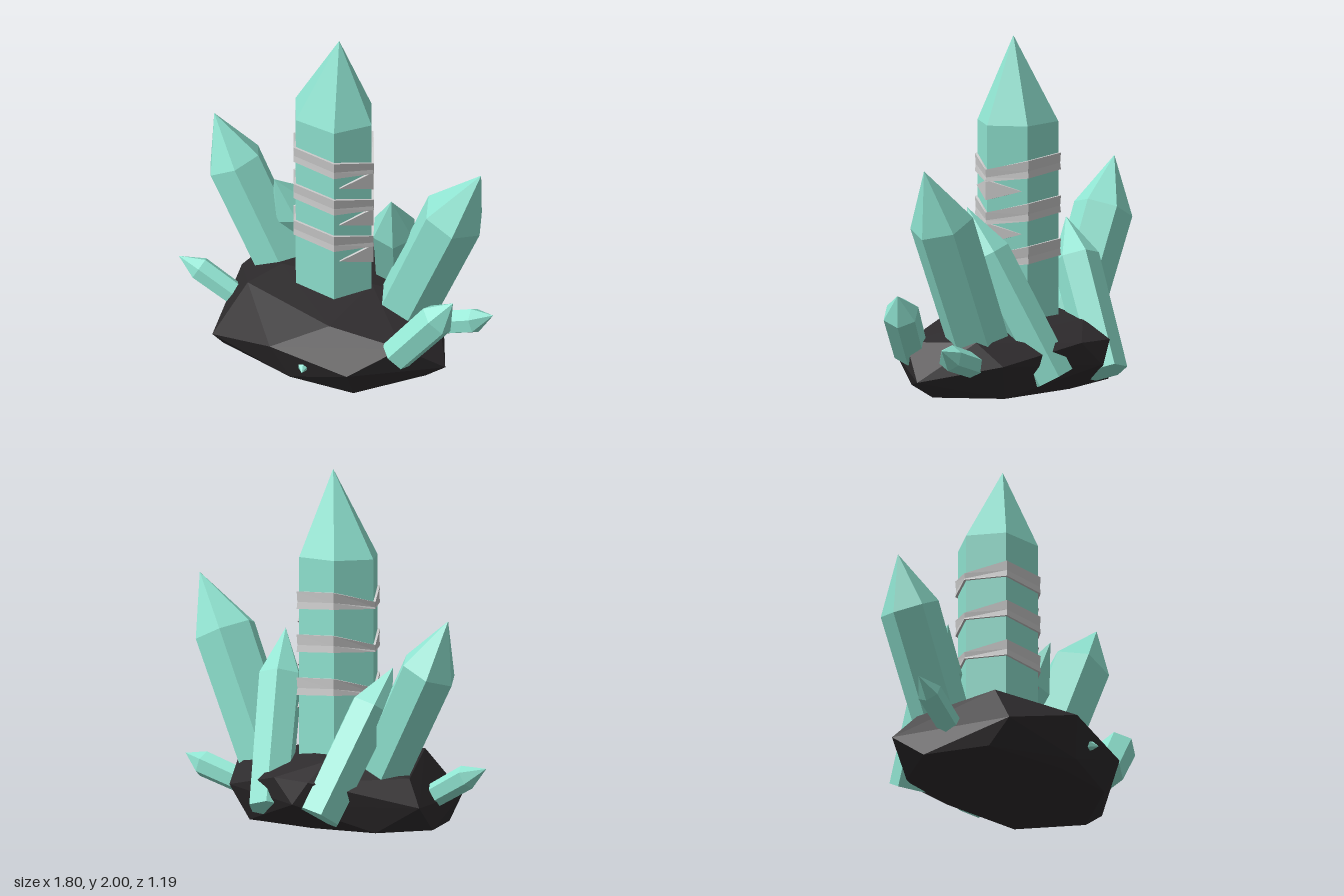
import * as THREE from 'three';
import { ConvexGeometry } from 'three/addons/geometries/ConvexGeometry.js';

const V = (x, y, z) => new THREE.Vector3(x, y, z);
const crystalMat = new THREE.MeshStandardMaterial({ color: 0x8fe3d0, flatShading: true });
const rockMat = new THREE.MeshStandardMaterial({ color: 0x2e2b2d, flatShading: true });
const bandMat = new THREE.MeshStandardMaterial({ color: 0xcccccc, flatShading: true });

// Skin a list of equal-length closed rings; optionally join last ring to first
function loft(rings, loop = false) {
  const n = rings[0].length, pos = [], idx = [];
  rings.forEach(r => r.forEach(p => pos.push(p.x, p.y, p.z)));
  const steps = loop ? rings.length : rings.length - 1;
  for (let k = 0; k < steps; k++) {
    const a = k * n, b = ((k + 1) % rings.length) * n;
    for (let i = 0; i < n; i++) {
      const j = (i + 1) % n;
      idx.push(a + i, a + j, b + j, a + i, b + j, b + i);
    }
  }
  const g = new THREE.BufferGeometry();
  g.setAttribute('position', new THREE.Float32BufferAttribute(pos, 3));
  g.setIndex(idx);
  // separate corners and drop the collapsed triangles at points
  const flat = g.toNonIndexed();
  flat.computeVertexNormals();
  return flat;
}

// Six-sided crystal: prism from base to shoulder, then a point to tip
function crystal(base, shoulder, tip, r, taper = 0.95) {
  const axis = shoulder.clone().sub(base).normalize();
  const u = V(0, 1, 0).cross(axis).normalize();
  const v = axis.clone().cross(u);
  const ring = (c, rad) => Array.from({ length: 6 }, (_, i) => {
    const a = i * Math.PI / 3;
    return c.clone().addScaledVector(v, -Math.cos(a) * rad).addScaledVector(u, Math.sin(a) * rad);
  });
  // order corners anticlockwise about the axis
  const ccw = c => {
    const n = c[0].clone().sub(c[3]).cross(c[1].clone().sub(c[4]));
    return n.dot(axis) > 0 ? c : c.reverse();
  };
  return loft([ring(base, 0), ccw(ring(base, r * taper)), ccw(ring(shoulder, r)), ring(tip, 0)]);
}

// Corner i of the main column's hexagon, pushed out by factor s
const CX = -0.018, CZ = -0.05;
const corner = (i, y, s = 1) => {
  const a = i * Math.PI / 3;
  return V(CX + 0.257 * s * Math.cos(a), y, CZ + 0.22 * s * Math.sin(a) * (s > 1 ? 1.01 : 1));
};

export function createModel() {
  const model = new THREE.Group();
  const add = (name, geo, mat, parent = model) => {
    const m = new THREE.Mesh(geo, mat);
    m.name = name;
    parent.add(m);
    return m;
  };

  // Rough faceted rock base
  const rockPoints = [
    // top
    [-0.3, 0.44, 0.05], [0.22, 0.42, -0.08], [-0.38, 0.41, 0.28], [0.21, 0.36, 0.34],
    [0.55, 0.33, -0.25], [-0.6, 0.3, -0.12], [-0.2, 0.39, -0.38], [0.02, 0.3, -0.57], [-0.22, 0.29, -0.56],
    // waist
    [-0.03, 0.27, 0.585], [-0.48, 0.14, 0.49], [0.42, 0.17, 0.48], [0.62, 0.29, 0.22],
    [0.77, 0.1, 0], [0.49, 0.2, -0.4], [-0.13, 0.16, -0.59], [-0.73, 0.15, -0.19], [0.05, 0.05, 0.5],
    // foot
    [-0.67, 0, 0], [-0.5, 0, 0.35], [0, 0, 0.43], [0.4, 0, 0.38],
    [0.64, 0, 0], [0.4, 0, -0.33], [-0.1, 0, -0.37], [-0.5, 0, -0.3],
  ];
  add('rockBase', new ConvexGeometry(rockPoints.map(p => V(...p))), rockMat);

  // Tall central column with a pointed cap
  const hex = y => [0, 5, 4, 3, 2, 1].map(i => corner(i, y));
  const tip = Array.from({ length: 6 }, () => V(0.02, 2, CZ));
  add('mainCrystal', loft([hex(0.2), hex(1.51), tip]), crystalMat);

  // Surrounding crystals: base, shoulder, tip, radius
  const shards = {
    rightLargeCrystal: [[0.365, 0.2, -0.14], [0.73, 1.025, -0.15], [0.9, 1.345, -0.17], 0.185],
    leftLargeCrystal: [[-0.335, 0.2, -0.12], [-0.705, 0.92, -0.075], [-0.825, 1.21, -0.05], 0.17],
    backRightCrystal: [[0.14, 0.1, -0.465], [0.33, 0.8, -0.14], [0.385, 1.06, -0.03], 0.13],
    backLeftCrystal: [[-0.255, 0.09, -0.5], [-0.37, 0.69, -0.17], [-0.42, 0.91, -0.05], 0.135],
    frontRightCrystal: [[0.58, 0.23, 0.22], [0.785, 0.485, 0.11], [0.865, 0.6, 0.065], 0.105],
    frontLeftCrystal: [[-0.55, 0.16, 0.11], [-0.785, 0.295, 0.16], [-0.905, 0.35, 0.19], 0.072],
    rightSmallCrystal: [[0.5, 0.18, -0.22], [0.79, 0.275, -0.27], [0.895, 0.33, -0.3], 0.075],
    frontChip: [[0.1, 0.2, 0.4], [0.15, 0.16, 0.51], [0.17, 0.15, 0.56], 0.035],
  };
  for (const [name, [b, s, t, r]] of Object.entries(shards)) {
    add(name, crystal(V(...b), V(...s), V(...t), r), crystalMat);
  }

  // Three bands wrapped round the column, each with two prongs on the right
  const heights = [[1.19, 1.26], [1.215, 1.315], [1.235, 1.33], [1.23, 1.27], [1.235, 1.33], [1.215, 1.315]];
  for (let k = 0; k < 3; k++) {
    const band = new THREE.Group();
    band.name = 'band' + (k + 1);
    const sections = heights.map(([lo, hi], i) => [
      corner(i, lo, 0.98), corner(i, lo, 1.06), corner(i, (lo + hi) / 2 - 0.01, 1.04),
      corner(i, hi, 1.06), corner(i, hi, 0.98),
    ]);
    add('bandRing', loft(sections, true), bandMat, band);
    for (const side of [1, 5]) {
      const pts = [0.98, 1.055].flatMap(s => [
        corner(0, 1.2, s), corner(0, 1.085, s),
        corner(0, 1.14, s).lerp(corner(side, 1.14, s), 0.85),
      ]);
      add('bandProng', new ConvexGeometry(pts), bandMat, band);
    }
    band.position.y = -0.245 * k;
    model.add(band);
  }
  return model;
}
